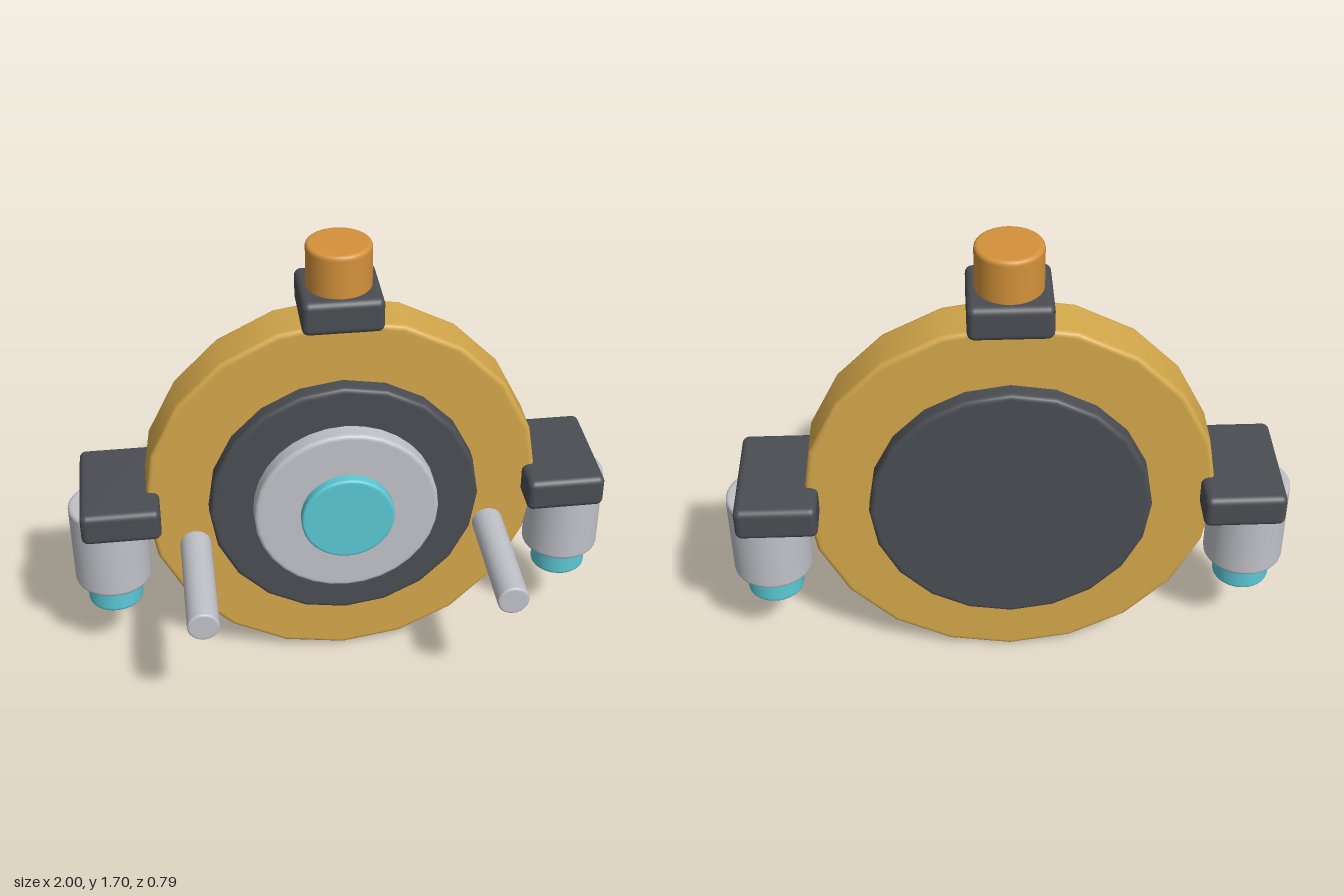
import * as THREE from 'three';
import { RoundedBoxGeometry } from 'three/addons/geometries/RoundedBoxGeometry.js';

const paint = (name, color) => {
  const m = new THREE.MeshStandardMaterial({ color });
  m.name = name;
  return m;
};

// Solid cylinder along y from a to b with softly rounded rims
function roundedCylinder(r, a, b, sides, bevel) {
  const pts = [new THREE.Vector2(0, a), new THREE.Vector2(r - bevel - 0.004, a)];
  const steps = 4;
  for (let i = 0; i <= steps; i++) {
    const t = (i / steps) * Math.PI / 2;
    pts.push(new THREE.Vector2(r - bevel + bevel * Math.sin(t), a + bevel - bevel * Math.cos(t)));
  }
  pts.push(new THREE.Vector2(r, a + bevel + 0.004), new THREE.Vector2(r, b - bevel - 0.004));
  for (let i = 0; i <= steps; i++) {
    const t = (i / steps) * Math.PI / 2;
    pts.push(new THREE.Vector2(r - bevel + bevel * Math.cos(t), b - bevel + bevel * Math.sin(t)));
  }
  pts.push(new THREE.Vector2(r - bevel - 0.004, b), new THREE.Vector2(0, b));
  return new THREE.LatheGeometry(pts, sides);
}

export function createModel() {
  const gold = paint('gold', 0xd4a84b);
  const dark = paint('darkGrey', 0x4a4d52);
  const silver = paint('silver', 0xc0c2c8);
  const cyan = paint('cyan', 0x5bc8d5);
  const orange = paint('orange', 0xd4923a);

  const model = new THREE.Group();
  model.name = 'discMachine';
  const midZ = -0.175;

  const add = (parent, name, geometry, material, x, y, z) => {
    const mesh = new THREE.Mesh(geometry, material);
    mesh.name = name;
    mesh.position.set(x, y, z);
    parent.add(mesh);
    return mesh;
  };
  // Cylinder lying along z between two depths
  const addDisc = (parent, name, material, r, back, front, sides, bevel, x = 0, y = 0.725) =>
    add(parent, name, roundedCylinder(r, back, front, sides, bevel).rotateX(Math.PI / 2), material, x, y, 0);
  // Upright cylinder between two heights
  const addPost = (parent, name, material, r, low, high, x, bevel) =>
    add(parent, name, roundedCylinder(r, low, high, 32, bevel), material, x, 0, midZ);

  // Stacked body discs
  addDisc(model, 'bodyDisc', gold, 0.72, -0.268, -0.082, 20, 0.016);
  addDisc(model, 'darkDisc', dark, 0.49, -0.33, -0.02, 20, 0.016);
  addDisc(model, 'silverDisc', silver, 0.333, -0.06, 0.045, 32, 0.014, 0, 0.73);
  addDisc(model, 'lens', cyan, 0.168, 0, 0.083, 32, 0.01, 0, 0.73);

  // Beacon on top
  add(model, 'beaconBase', new RoundedBoxGeometry(0.284, 0.126, 0.284, 4, 0.025), dark, 0, 1.483, midZ);
  addPost(model, 'beacon', orange, 0.115, 1.5, 1.703, 0, 0.014);

  // Side pods and front rods, mirrored
  for (const side of [1, -1]) {
    const pod = new THREE.Group();
    pod.name = side > 0 ? 'leftPod' : 'rightPod';
    add(pod, 'bracket', new RoundedBoxGeometry(0.284, 0.124, 0.438, 4, 0.025), dark, side * 0.807, 0.732, midZ);
    addPost(pod, 'podBarrel', silver, 0.143, 0.368, 0.7, side * 0.857, 0.014);
    addPost(pod, 'podNozzle', cyan, 0.102, 0.265, 0.4, side * 0.857, 0.012);
    model.add(pod);
    addDisc(model, side > 0 ? 'leftRod' : 'rightRod', silver, 0.057, -0.1, 0.395, 24, 0.008, side * 0.545, 0.55);
  }
  return model;
}
